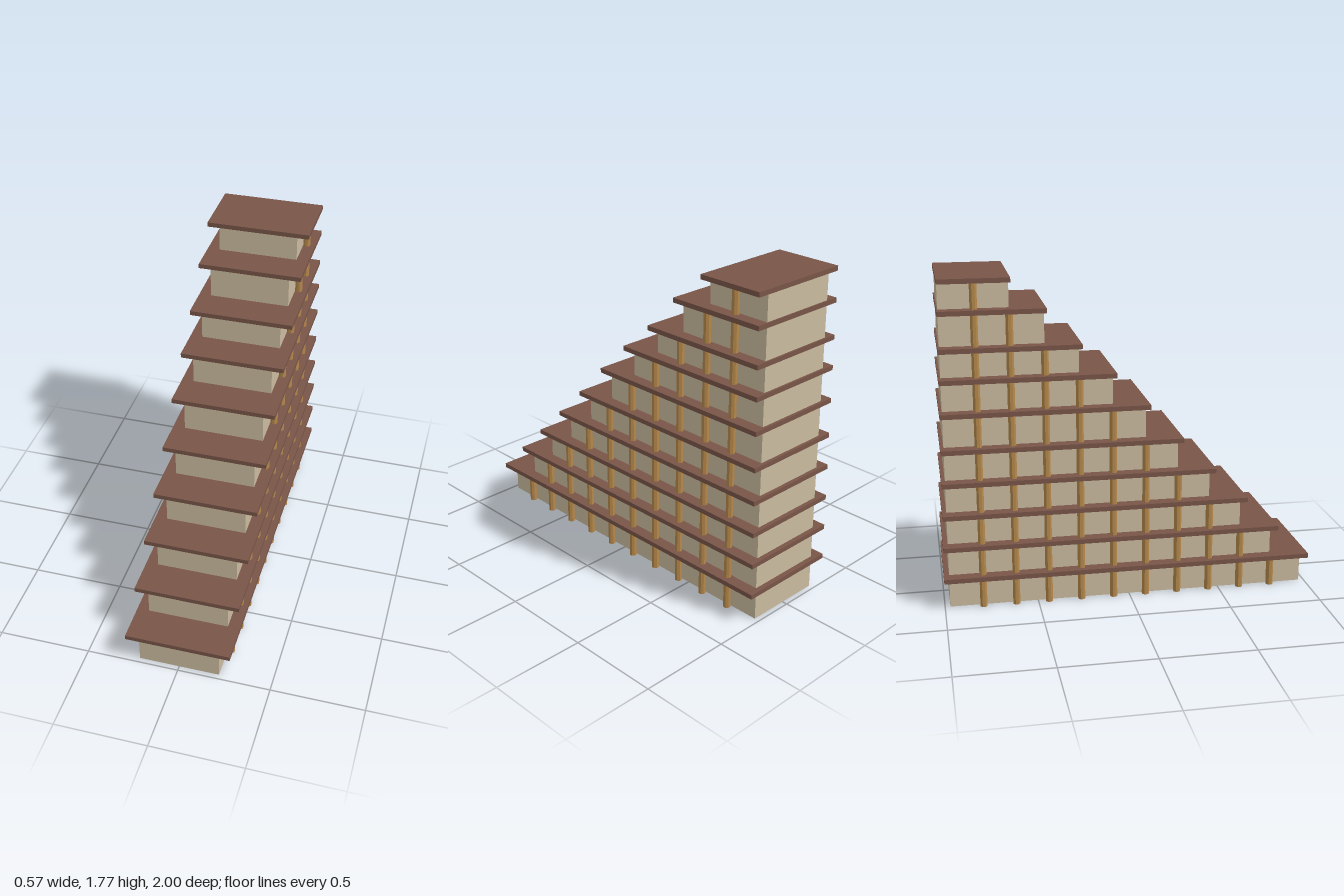
import * as THREE from 'three';

export function createModel() {
  const group = new THREE.Group();
  group.name = 'steppedTower';

  const make = (name, color) => {
    const m = new THREE.MeshStandardMaterial({ color });
    m.name = name;
    return m;
  };
  const wall = make('sandWall', 0xcbbb9f);
  const brown = make('brownSlab', 0x795548);
  const timber = make('ochreColumn', 0xb5884c);
  timber.flatShading = true;

  const add = (name, geometry, material, x, y, z) => {
    const mesh = new THREE.Mesh(geometry, material);
    mesh.name = name;
    mesh.position.set(x, y, z);
    group.add(mesh);
  };

  const slabCentres = [0.17, 0.346, 0.522, 0.698, 0.877, 1.068, 1.245, 1.405, 1.596, 1.756];
  const tiers = slabCentres.length;
  const slabThick = 0.025;
  const pitch = 0.1765;
  const back = -0.972;

  let floor = 0;
  slabCentres.forEach((centre, i) => {
    const ceiling = centre - slabThick / 2;
    const height = ceiling - floor;
    const mid = (floor + ceiling) / 2;

    // Storey block, each one bay shorter than the one below
    const front = 0.972 - i * pitch;
    add(`storey${i + 1}`, new THREE.BoxGeometry(0.436, height, front - back), wall,
      0, mid, (front + back) / 2);

    // Overhanging roof slab, its overhang shrinking with each tier
    const slabFront = 1 - i * 0.179;
    const slabBack = -1 + i * 0.0027;
    add(`roofSlab${i + 1}`, new THREE.BoxGeometry(0.566, slabThick, slabFront - slabBack), brown,
      0, centre, (slabFront + slabBack) / 2);

    // Eight-sided columns on both flanks at each bay line
    const column = new THREE.CylinderGeometry(0.02, 0.02, height, 8, 1, false, Math.PI / 8);
    for (let k = i; k < tiers; k++) {
      for (const side of [-1, 1]) {
        add(side > 0 ? 'leftColumn' : 'rightColumn', column, timber,
          side * 0.237, mid, 0.794 - k * pitch);
      }
    }
    floor = centre + slabThick / 2;
  });

  return group;
}
